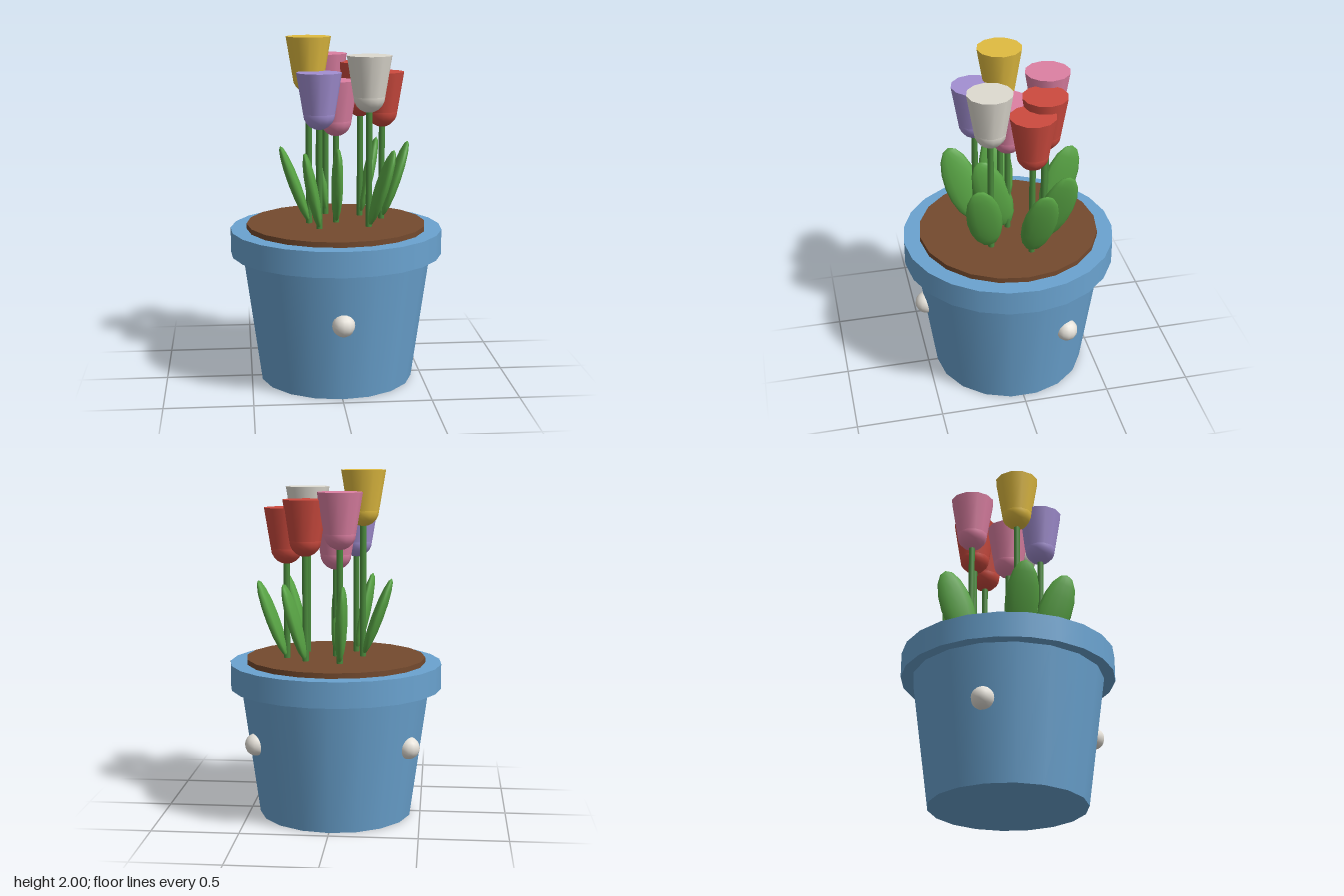
import * as THREE from 'three';

const mat = (color) => new THREE.MeshStandardMaterial({ color });

const blue = mat(0x6aa3d0);
const brown = mat(0x744a2e);
const pearl = mat(0xe6e2da);
const stemGreen = mat(0x4a8a3c);
const leafGreen = mat(0x58a444);
const yellow = mat(0xe0bb40);
const purple = mat(0xa28fd2);
const white = mat(0xdedad0);
const red = mat(0xcc4a3e);
const pink = mat(0xdd80a3);

// Each tulip: x, z, height of the flower top, petal material
const TULIPS = [
  [0, 0, 1.75, pink],
  [0.275, -0.079, 1.79, red],
  [0.157, -0.174, 1.84, red],
  [-0.043, -0.236, 1.885, pink],
  [-0.157, 0.01, 2.0, yellow],
  [-0.108, 0.167, 1.81, purple],
  [0.177, 0.134, 1.9, white],
];

const SOIL_TOP = 0.925;
const CUP_HEIGHT = 0.23;
const LEAF_TILT = 0.35;

function addMesh(parent, name, geometry, material, x = 0, y = 0, z = 0) {
  const mesh = new THREE.Mesh(geometry, material);
  mesh.name = name;
  mesh.position.set(x, y, z);
  parent.add(mesh);
  return mesh;
}

function makePot() {
  const pot = new THREE.Group();
  pot.name = 'pot';
  // Tapered body, overhanging rim and the disc of soil
  addMesh(pot, 'potBody', new THREE.CylinderGeometry(0.552, 0.446, 0.77, 18), blue, 0, 0.385, 0);
  addMesh(pot, 'potRim', new THREE.CylinderGeometry(0.614, 0.614, 0.145, 23), blue, 0, 0.8225, 0);
  addMesh(pot, 'soil', new THREE.CylinderGeometry(0.52, 0.52, 0.06, 20), brown, 0, SOIL_TOP - 0.03, 0);

  // Three beads evenly spaced round the body
  const bead = new THREE.SphereGeometry(0.064, 12, 10);
  for (let i = 0; i < 3; i++) {
    const a = (i * 2 * Math.PI) / 3;
    addMesh(pot, 'bead', bead, pearl, Math.sin(a) * 0.503, 0.45, Math.cos(a) * 0.503);
  }
  pot.position.z = -0.003;
  return pot;
}

// Shared flower parts
const cupGeometry = new THREE.CylinderGeometry(0.128, 0.09, CUP_HEIGHT, 12);
const bulbGeometry = new THREE.SphereGeometry(0.09, 12, 5, 0, Math.PI * 2, Math.PI / 2, Math.PI / 2);
const leafGeometry = new THREE.SphereGeometry(1, 12, 8);

function makeTulip([x, z, top, petals]) {
  const tulip = new THREE.Group();
  tulip.name = 'tulip';
  tulip.position.set(x, 0, z);

  // Upright stem
  const stemTop = top - 0.29;
  const stemHeight = stemTop - SOIL_TOP;
  addMesh(tulip, 'stem', new THREE.CylinderGeometry(0.018, 0.018, stemHeight, 8), stemGreen,
    0, SOIL_TOP + stemHeight / 2, 0);

  // Flared cup on a rounded base
  addMesh(tulip, 'flowerCup', cupGeometry, petals, 0, top - CUP_HEIGHT / 2, 0);
  addMesh(tulip, 'flowerBase', bulbGeometry, petals, 0, top - CUP_HEIGHT, 0);

  // Flattened leaf leaning away from the middle of the pot
  const a = Math.atan2(x, z);
  const dx = Math.sin(a);
  const dz = Math.cos(a);
  const leaf = addMesh(tulip, 'leaf', leafGeometry, leafGreen, dx * 0.085, 1.158, dz * 0.085);
  leaf.scale.set(0.034, 0.235, 0.1);
  leaf.rotation.set(LEAF_TILT * dz, 0, -LEAF_TILT * dx);
  return tulip;
}

export function createModel() {
  const model = new THREE.Group();
  model.name = 'pottedTulips';
  model.add(makePot());
  for (const spec of TULIPS) model.add(makeTulip(spec));
  return model;
}
